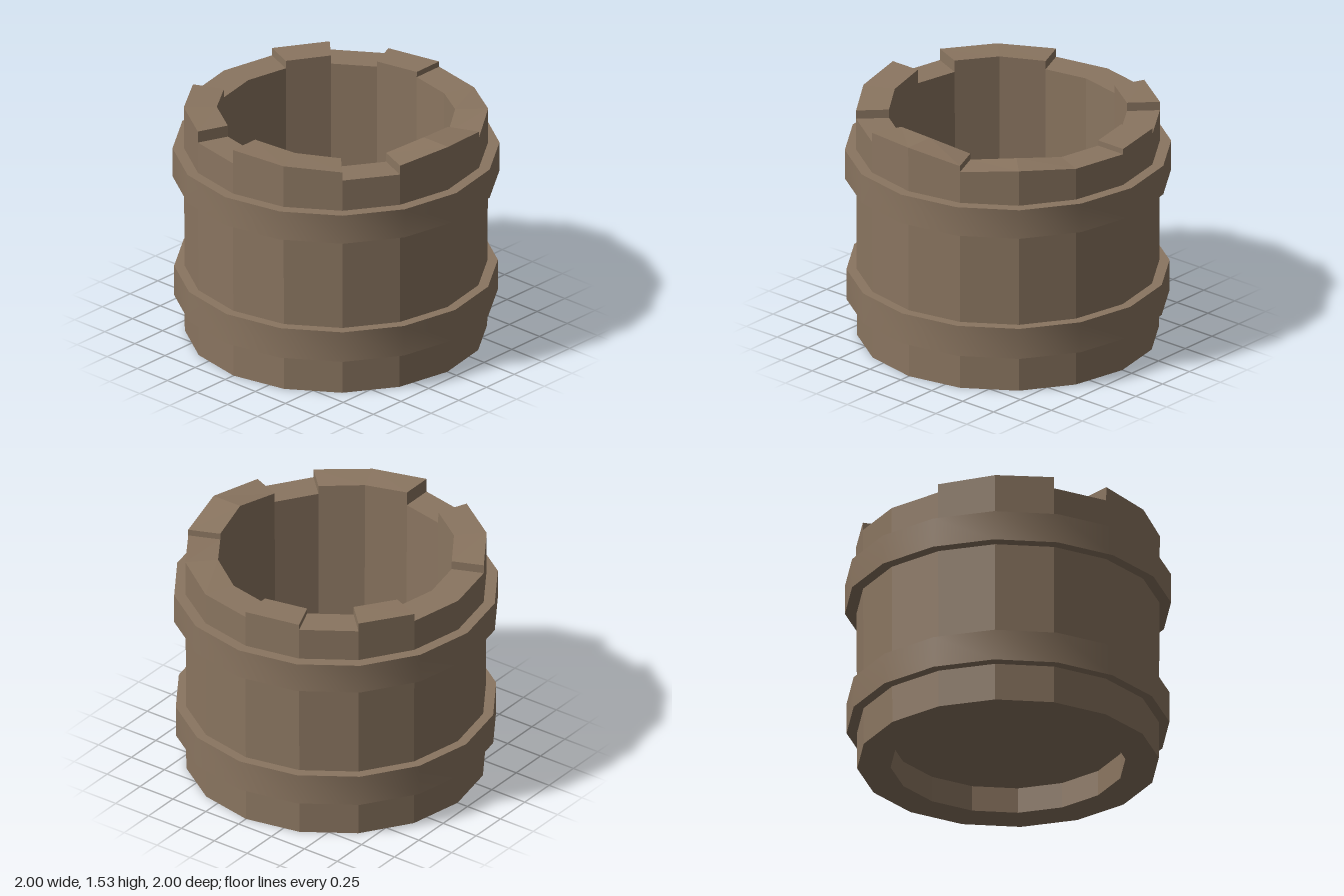
import * as THREE from 'three';
import { toCreasedNormals } from 'three/addons/utils/BufferGeometryUtils.js';

const SIDES = 16;
const WOOD = 0x8a7560;

// Height of the broken rim at the start and end of each stave, from +x towards +z
const RIM = [
  [1.44, 1.44], [1.44, 1.465], [1.465, 1.44],
  [1.48, 1.525], [1.525, 1.50],
  [1.44, 1.44],
  [1.495, 1.51], [1.51, 1.53],
  [1.44, 1.44],
  [1.515, 1.51], [1.51, 1.495],
  [1.44, 1.44], [1.44, 1.44],
  [1.49, 1.495],
  [1.44, 1.44],
  [1.475, 1.475],
];

function material(side = THREE.FrontSide, flatShading = false) {
  return new THREE.MeshStandardMaterial({ color: WOOD, side, flatShading });
}

// Hollow wall of straight staves, with a vertical step wherever the rim jumps
function wallGeometry() {
  const positions = [];
  const at = (k, r, y) => {
    const a = (k / SIDES) * Math.PI * 2;
    return [r * Math.cos(a), y, r * Math.sin(a)];
  };
  const outer = (k, y) => at(k, 0.925 + 0.004 * y, y);
  const inner = (k, y) => at(k, 0.72 + 0.006 * y, y);
  const quad = (a, b, c, d) => positions.push(...a, ...b, ...c, ...a, ...c, ...d);

  RIM.forEach(([h0, h1], k) => {
    const n = k + 1;
    quad(outer(n, 0), outer(k, 0), outer(k, h0), outer(n, h1));
    quad(inner(k, 0), inner(n, 0), inner(n, h1), inner(k, h0));
    quad(outer(k, h0), inner(k, h0), inner(n, h1), outer(n, h1));
    quad(outer(n, 0), inner(n, 0), inner(k, 0), outer(k, 0));
    const before = RIM[(k + SIDES - 1) % SIDES][1];
    if (before !== h0) {
      quad(outer(k, before), inner(k, before), inner(k, h0), outer(k, h0));
    }
  });

  const geometry = new THREE.BufferGeometry();
  geometry.setAttribute('position', new THREE.Float32BufferAttribute(positions, 3));
  geometry.computeVertexNormals();
  return geometry;
}

// Hoop with a rectangular section, smooth around and sharp at its edges
function hoop(name, radius, y0, y1) {
  const profile = [[0.91, y0], [radius, y0], [radius, y1], [0.91, y1]]
    .map(([r, y]) => new THREE.Vector2(r, y));
  const geometry = toCreasedNormals(new THREE.LatheGeometry(profile, SIDES), 0.5);
  const mesh = new THREE.Mesh(geometry, material());
  mesh.name = name;
  return mesh;
}

export function createModel() {
  const group = new THREE.Group();
  group.name = 'brokenBarrel';

  const wall = new THREE.Mesh(wallGeometry(), material(THREE.FrontSide, true));
  wall.name = 'staves';
  group.add(wall);

  group.add(hoop('lowerHoop', 0.99, 0.24, 0.44));
  group.add(hoop('upperHoop', 1.0, 1.045, 1.235));

  // Floor set a little above the foot
  const floor = new THREE.Mesh(
    new THREE.CircleGeometry(0.722, SIDES).rotateX(-Math.PI / 2),
    material(THREE.DoubleSide),
  );
  floor.position.y = 0.165;
  floor.name = 'floor';
  group.add(floor);

  return group;
}
